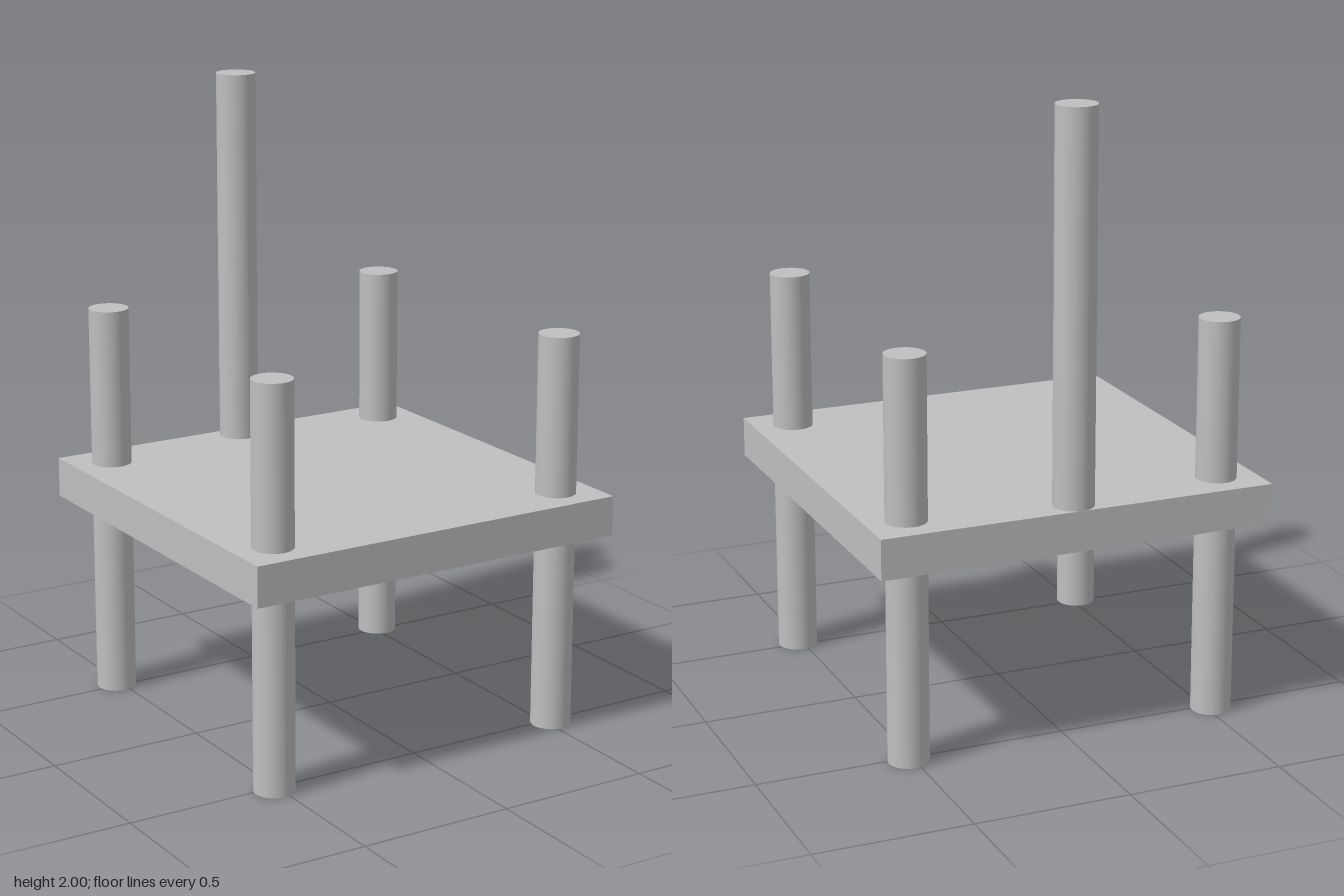
import * as THREE from 'three';

const SIDE = 1.29;         // seat width and depth, also the leg length
const SEAT_BOTTOM = 0.645;
const SEAT_TOP = 0.774;
const RADIUS = 0.0645;     // all posts share one radius

export function createModel() {
  const model = new THREE.Group();
  model.name = 'chair';
  const grey = new THREE.MeshStandardMaterial({ color: 0xbfbfbf });
  grey.name = 'plain grey';

  // Upright round post between two heights
  function post(name, x, z, bottom, top) {
    const geometry = new THREE.CylinderGeometry(RADIUS, RADIUS, top - bottom, 48);
    const mesh = new THREE.Mesh(geometry, grey);
    mesh.name = name;
    mesh.position.set(x, (bottom + top) / 2, z);
    model.add(mesh);
  }

  // Square slab seat
  const seat = new THREE.Mesh(new THREE.BoxGeometry(SIDE, SEAT_TOP - SEAT_BOTTOM, SIDE), grey);
  seat.name = 'seat';
  seat.position.y = (SEAT_TOP + SEAT_BOTTOM) / 2;
  model.add(seat);

  // Four legs pass through the seat and rise above it
  for (const [xName, x] of [['Left', 0.516], ['Right', -0.516]]) {
    for (const [zName, z] of [['front', 0.516], ['back', -0.516]]) {
      post(`${zName}${xName}Leg`, x, z, 0, SIDE);
    }
  }

  // Tall back post, flush with the rear edge of the seat
  post('backPost', 0, -SIDE / 2 + RADIUS, SEAT_TOP, 2);

  return model;
}
